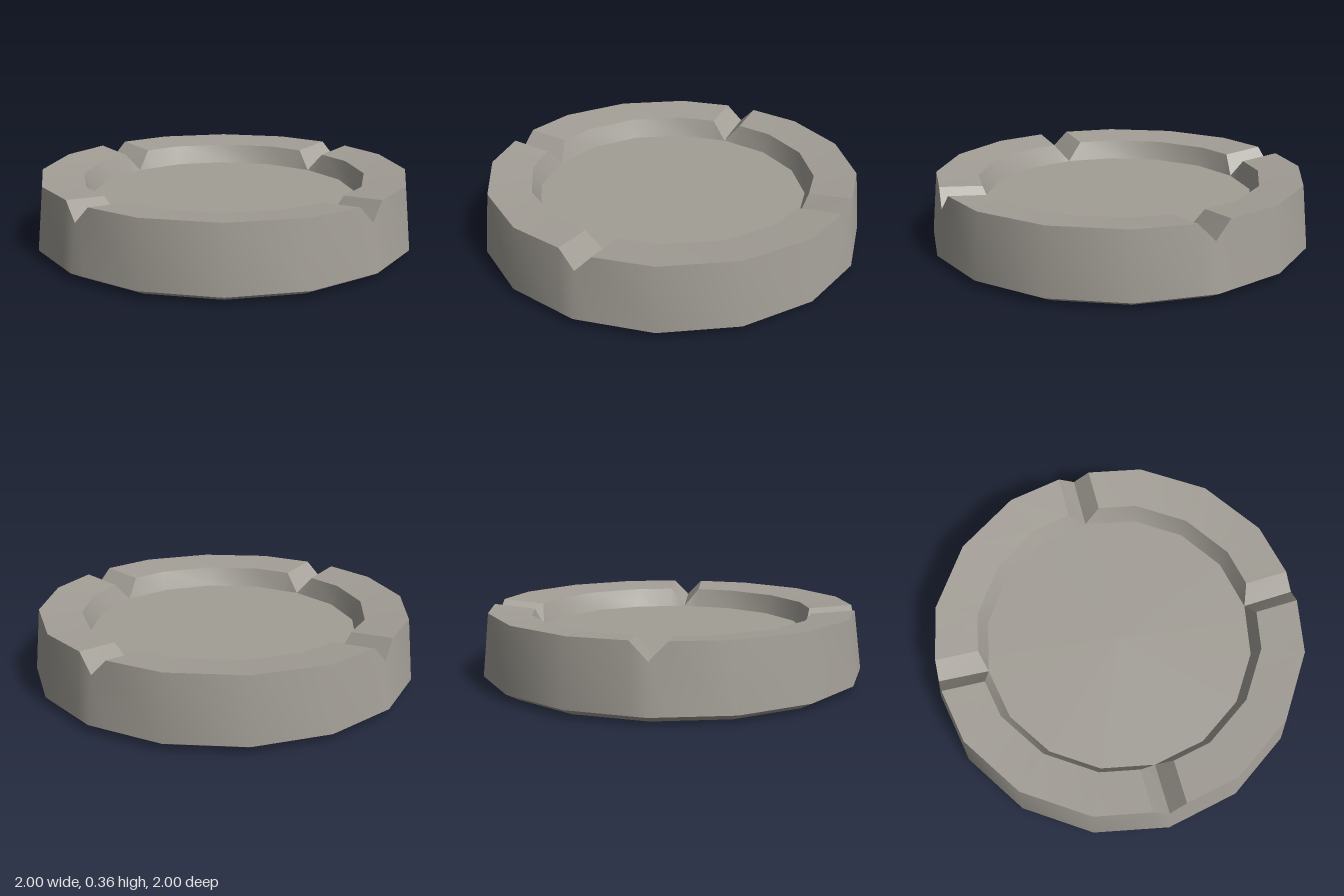
import * as THREE from 'three';
import { toCreasedNormals } from 'three/addons/utils/BufferGeometryUtils.js';

const SIDES = 16;
const STEP = (Math.PI * 2) / SIDES;
const NOTCH = 0.085; // half width of each V groove
const FLOOR = 0.235;

// Profile from base centre, round the outside, over the inward-sloping rim, to floor centre: [radius, height]
const PROFILE = [[0, 0], [0.935, 0], [1, 0.036], [0.965, 0.36], [0.745, 0.338], [0.705, FLOOR], [0, FLOOR]];
// At the groove centre the rim drops and slopes down to the floor's edge
const GROOVE = [[0, 0], [0.935, 0], [1, 0.036], [0.963, 0.272], [0.705, FLOOR], [0.705, FLOOR], [0, FLOOR]];
const PARTS = ['base', 'bottomChamfer', 'outerWall', 'rimWithGrooves', 'innerWall', 'basinFloor'];

// One cross-section at an angle
const section = (profile, angle) =>
  profile.map(([r, y]) => new THREE.Vector3(r * Math.cos(angle), y, r * Math.sin(angle)));

// Cross-section along a groove's edge, lying on the flat side of the polygon
const grooveEdge = (angle, sign) =>
  PROFILE.map(([r, y]) => {
    const out = r ? r - NOTCH * Math.tan(STEP / 2) : 0;
    return new THREE.Vector3(out, y, r ? sign * NOTCH : 0).applyAxisAngle(new THREE.Vector3(0, 1, 0), -angle);
  });

// All cross-sections, four equal quarters
function buildColumns() {
  const columns = [];
  for (let q = 0; q < 4; q++) {
    const a = q * Math.PI / 2;
    columns.push(section(GROOVE, a), grooveEdge(a, 1));
    for (let k = 1; k < 4; k++) columns.push(section(PROFILE, a + k * STEP));
    columns.push(grooveEdge(a + Math.PI / 2, -1));
  }
  return columns;
}

// Skin the ring between profile points i and i + 1
function ringGeometry(columns, i) {
  const points = [];
  const tri = (...t) => {
    if (new THREE.Triangle(...t).getArea() > 1e-7) points.push(...t);
  };
  columns.forEach((a, j) => {
    const b = columns[(j + 1) % columns.length];
    tri(a[i], a[i + 1], b[i + 1]);
    tri(a[i], b[i + 1], b[i]);
  });
  return toCreasedNormals(new THREE.BufferGeometry().setFromPoints(points), 0.5);
}

export function createModel() {
  const group = new THREE.Group();
  group.name = 'ashtray';
  const stone = new THREE.MeshStandardMaterial({ color: 0xa29e96 });
  stone.name = 'warmGrey';
  const columns = buildColumns();
  PARTS.forEach((name, i) => {
    const mesh = new THREE.Mesh(ringGeometry(columns, i), stone);
    mesh.name = name;
    group.add(mesh);
  });
  return group;
}
